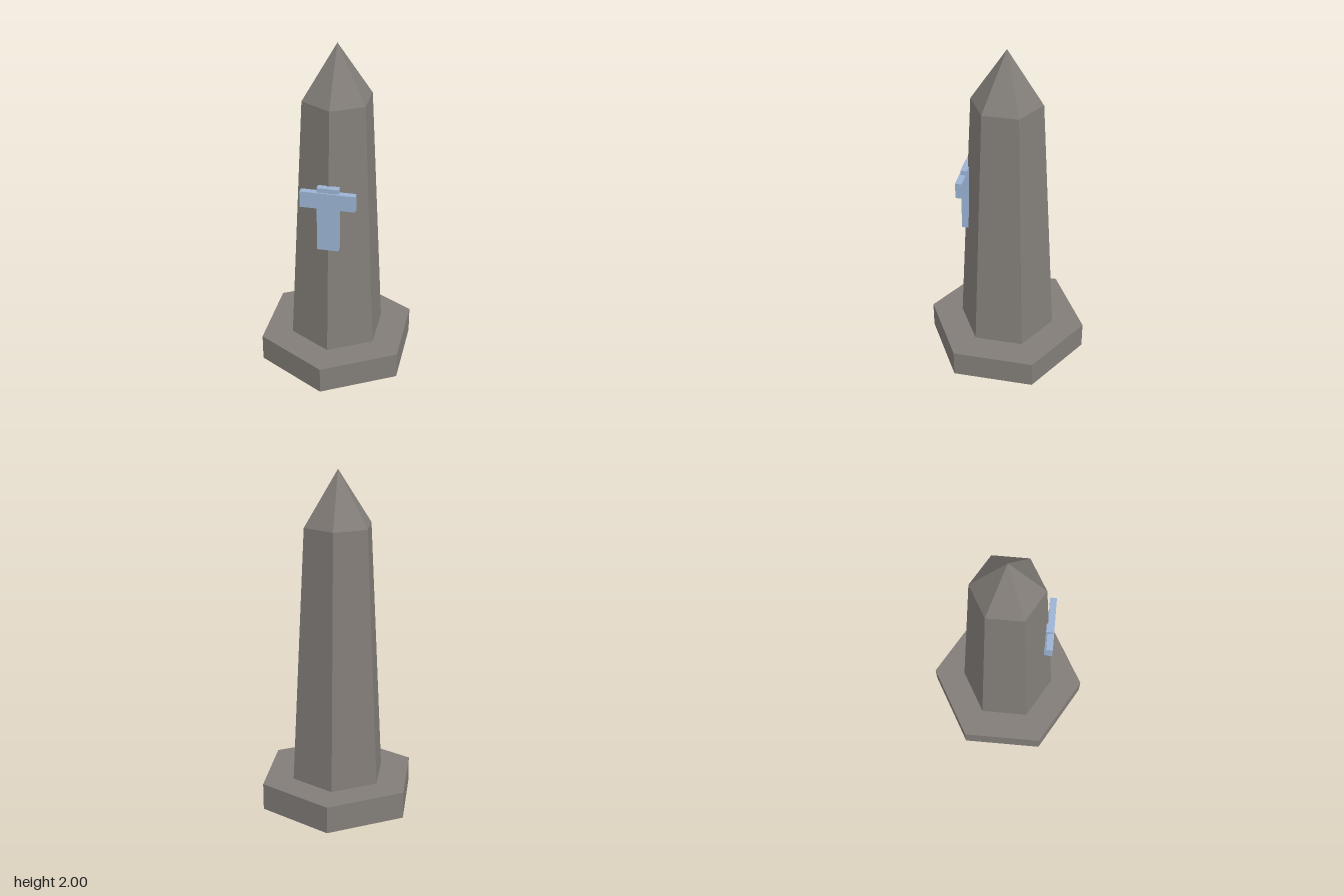
import * as THREE from 'three';

export function createModel() {
  const model = new THREE.Group();
  model.name = 'obelisk';

  const stone = new THREE.MeshStandardMaterial({ color: 0x827d78, flatShading: true });
  stone.name = 'grey stone';
  const blue = new THREE.MeshStandardMaterial({ color: 0x9bb3d2, flatShading: true });
  blue.name = 'pale blue';

  // Six-sided tapered block from y0 to y1, with one corner facing the front
  function hexBlock(name, bottomRadius, topRadius, y0, y1) {
    const geometry = topRadius > 0
      ? new THREE.CylinderGeometry(topRadius, bottomRadius, y1 - y0, 6)
      : new THREE.ConeGeometry(bottomRadius, y1 - y0, 6);
    const mesh = new THREE.Mesh(geometry, stone);
    mesh.name = name;
    mesh.position.y = (y0 + y1) / 2;
    model.add(mesh);
  }

  hexBlock('base', 0.48, 0.48, 0, 0.163);
  hexBlock('shaft', 0.288, 0.206, 0.163, 1.685);
  hexBlock('pointedCap', 0.206, 0, 1.685, 2);

  // Cross fixed to the front corner of the shaft
  const cross = new THREE.Group();
  cross.name = 'cross';
  function bar(name, width, height, y, z) {
    const mesh = new THREE.Mesh(new THREE.BoxGeometry(width, height, 0.038), blue);
    mesh.name = name;
    mesh.position.set(0, y, z);
    cross.add(mesh);
  }
  bar('crossUpright', 0.124, 0.395, 1.046, 0.239);
  bar('crossArm', 0.316, 0.097, 1.167, 0.247);
  model.add(cross);

  return model;
}
